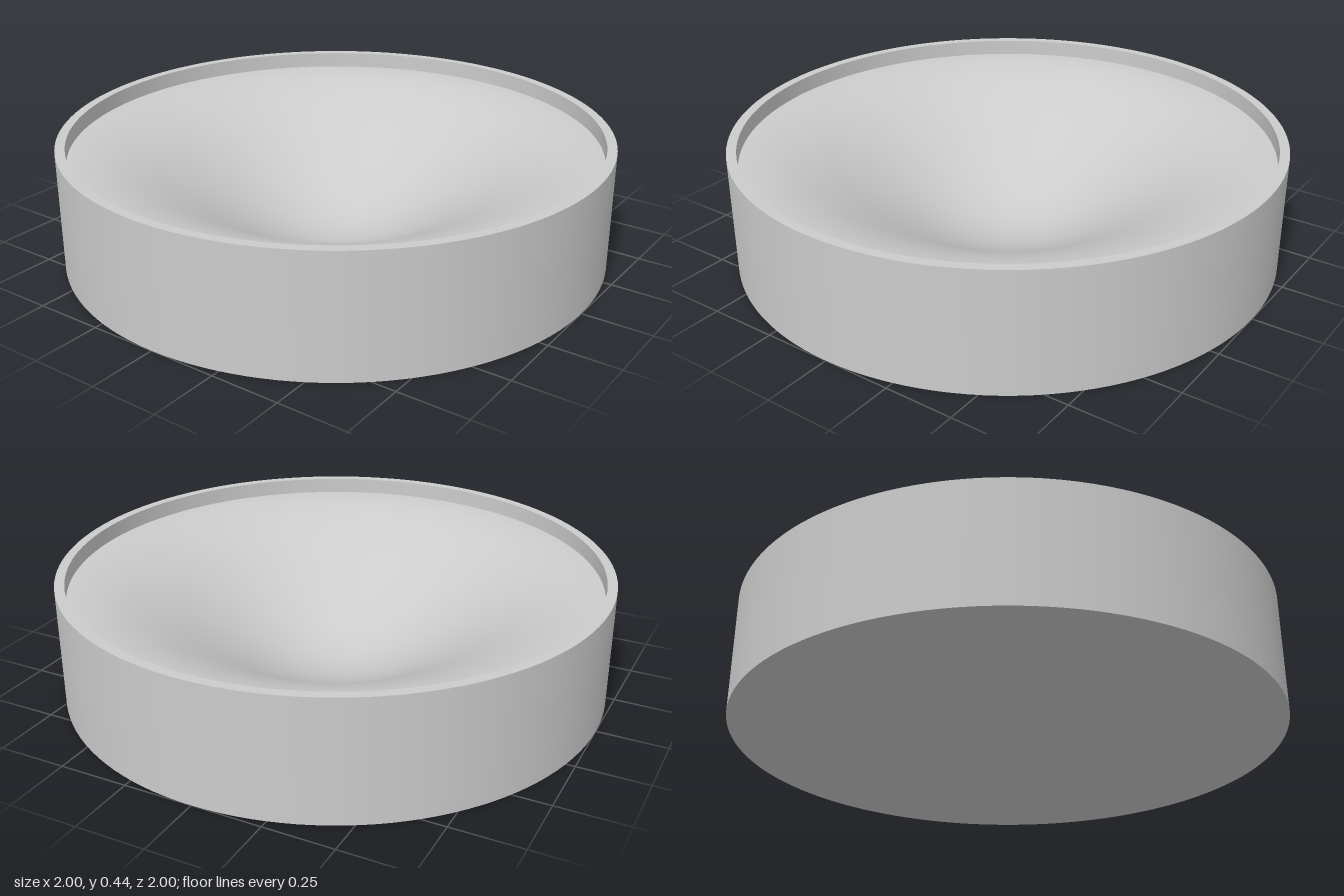
import * as THREE from 'three';

const RADIUS = 1, HEIGHT = 0.44;
const INNER = 0.965;           // inside radius of the rim
const EDGE = 0.38, FLOOR = 0.03; // height of the dish at its edge and centre
const SEGMENTS = 128;

export function createModel() {
  const group = new THREE.Group();
  group.name = 'roundDish';
  const material = new THREE.MeshStandardMaterial({ color: 0xcccccc });

  // Each part is its own lathe, so the edges between parts stay sharp
  function addLathe(name, profile) {
    const points = profile.map(([r, y]) => new THREE.Vector2(r, y));
    const mesh = new THREE.Mesh(new THREE.LatheGeometry(points, SEGMENTS), material);
    mesh.name = name;
    group.add(mesh);
  }

  addLathe('base', [[0, 0], [RADIUS, 0]]);
  addLathe('outerWall', [[RADIUS, 0], [RADIUS, HEIGHT]]);
  addLathe('rim', [[RADIUS, HEIGHT], [INNER, HEIGHT]]);
  addLathe('innerWall', [[INNER, HEIGHT], [INNER, EDGE]]);

  // Dished surface: level at the edge, steepest halfway, level at the centre
  const dish = [];
  const steps = 48;
  for (let i = 0; i <= steps; i++) {
    const t = 1 - i / steps;
    const y = FLOOR + (EDGE - FLOOR) * (1 - Math.cos(Math.PI * t)) / 2;
    dish.push([INNER * t, y]);
  }
  addLathe('dishedSurface', dish);

  return group;
}
